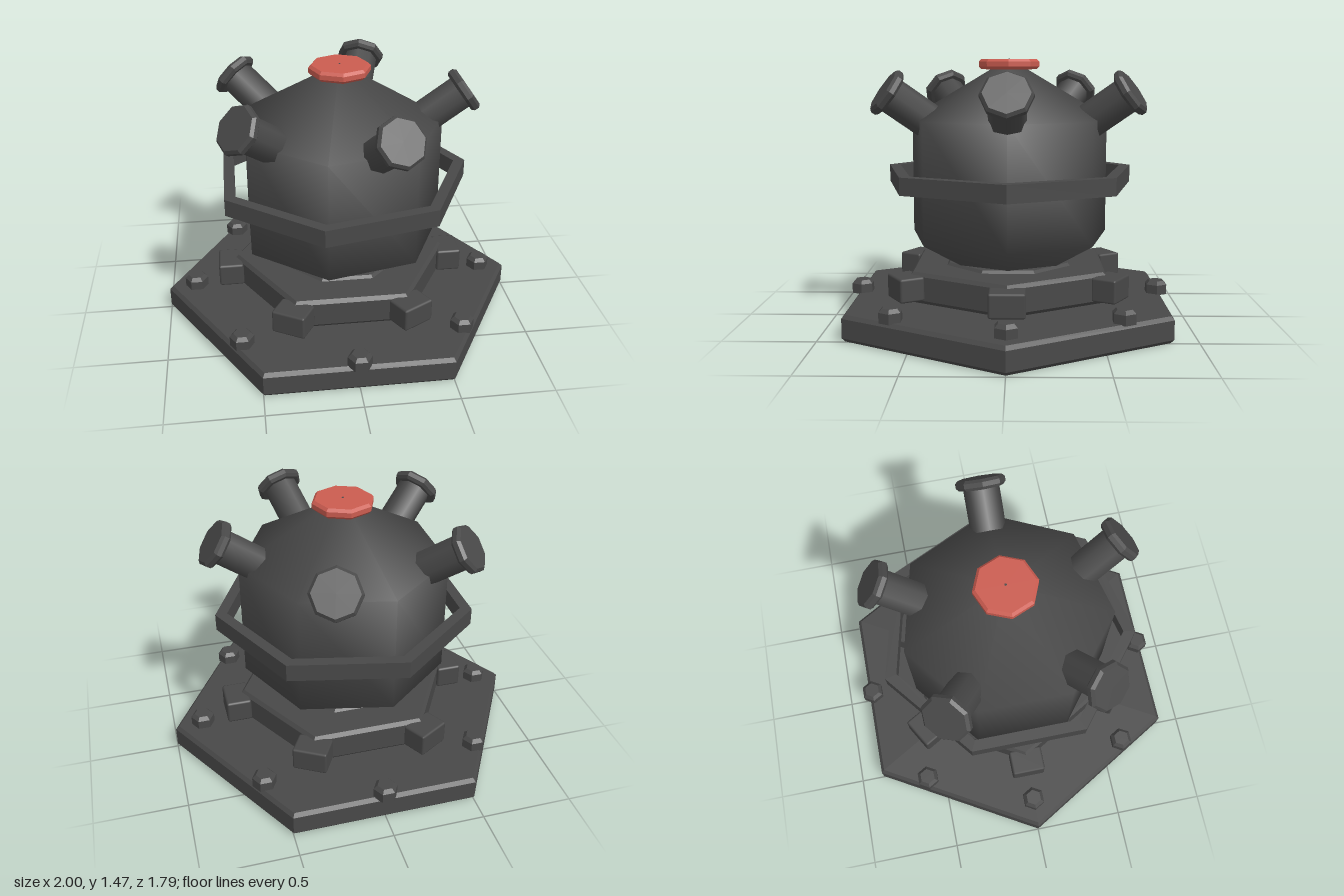
import * as THREE from 'three';
import { RoundedBoxGeometry } from 'three/addons/geometries/RoundedBoxGeometry.js';

const iron = new THREE.MeshStandardMaterial({ color: 0x484848 });
iron.name = 'dark iron';
const red = new THREE.MeshStandardMaterial({ color: 0xcb5c50 });
red.name = 'signal red';

// Faceted solid of revolution; first corner on +z unless turned
function faceted(profile, sides, turn = 0) {
  const points = profile.map(([r, y]) => new THREE.Vector2(r, y));
  const g = new THREE.LatheGeometry(points, sides).toNonIndexed();
  g.computeVertexNormals();
  return g.rotateY(turn);
}

// Upright prism from y0 to y1 with chamfered rims
function prism(r, y0, y1, sides, bevelBottom, bevelTop, turn = 0) {
  const b = bevelBottom, t = bevelTop;
  const profile = [[0, y0], [r - b, y0]];
  if (b > 0) profile.push([r, y0 + b]);
  profile.push([r, y1 - t]);
  if (t > 0) profile.push([r - t, y1]);
  profile.push([0, y1]);
  return faceted(profile, sides, turn);
}

function add(parent, name, geometry, material = iron) {
  const mesh = new THREE.Mesh(geometry, material);
  mesh.name = name;
  parent.add(mesh);
  return mesh;
}

export function createModel() {
  const model = new THREE.Group();
  model.name = 'navalMine';
  const quarter = Math.PI / 2;

  // Hexagonal base plate, with corners on the x axis
  add(model, 'basePlate', prism(1, 0, 0.145, 6, 0.02, 0.02, quarter));

  // Bolts around the base
  const boltGeometry = prism(0.065, 0.14, 0.215, 6, 0, 0.02, quarter);
  for (let i = 0; i < 8; i++) {
    const a = (i * Math.PI) / 4;
    add(model, 'bolt', boltGeometry).position.set(0.84 * Math.cos(a), 0, 0.84 * Math.sin(a));
  }

  // Pedestal and hexagonal collar
  add(model, 'pedestal', prism(0.37, 0.14, 0.345, 8, 0.015, 0.015, Math.PI / 8));
  add(model, 'collar', prism(0.61, 0.16, 0.33, 6, 0.02, 0.02, quarter));

  // Clamp blocks on the collar corners
  const blockGeometry = new RoundedBoxGeometry(0.14, 0.13, 0.19, 1, 0.012);
  for (let i = 0; i < 6; i++) {
    const a = (i * Math.PI) / 3;
    const block = add(model, 'clampBlock', blockGeometry);
    block.position.set(0.635 * Math.cos(a), 0.25, 0.635 * Math.sin(a));
    block.rotation.y = -a;
  }

  // Smooth seven-sided body, with a corner on +x
  const body = add(model, 'body', new THREE.SphereGeometry(0.66, 7, 3));
  body.rotation.y = Math.PI;
  body.position.y = 0.81;

  // Band floating around the waist
  const band = [[0.715, 0.765], [0.715, 0.86], [0.65, 0.86], [0.65, 0.765], [0.715, 0.765]];
  add(model, 'waistBand', faceted(band, 7, quarter));

  // Five horns pointing away from the body centre
  const shaft = new THREE.CylinderGeometry(0.098, 0.098, 0.3, 8).translate(0, 0.69, 0);
  const head = prism(0.135, 0.805, 0.86, 8, 0.015, 0.015);
  const elevation = THREE.MathUtils.degToRad(35);
  for (let i = 0; i < 5; i++) {
    const a = (i * Math.PI * 2) / 5;
    const horn = new THREE.Group();
    horn.name = 'horn';
    add(horn, 'hornShaft', shaft);
    add(horn, 'hornHead', head);
    horn.position.y = 0.81;
    horn.rotation.set(0, a, elevation - quarter);
    model.add(horn);
  }

  // Red cap
  add(model, 'topCap', prism(0.168, 1.41, 1.466, 8, 0.015, 0.015), red);

  return model;
}
